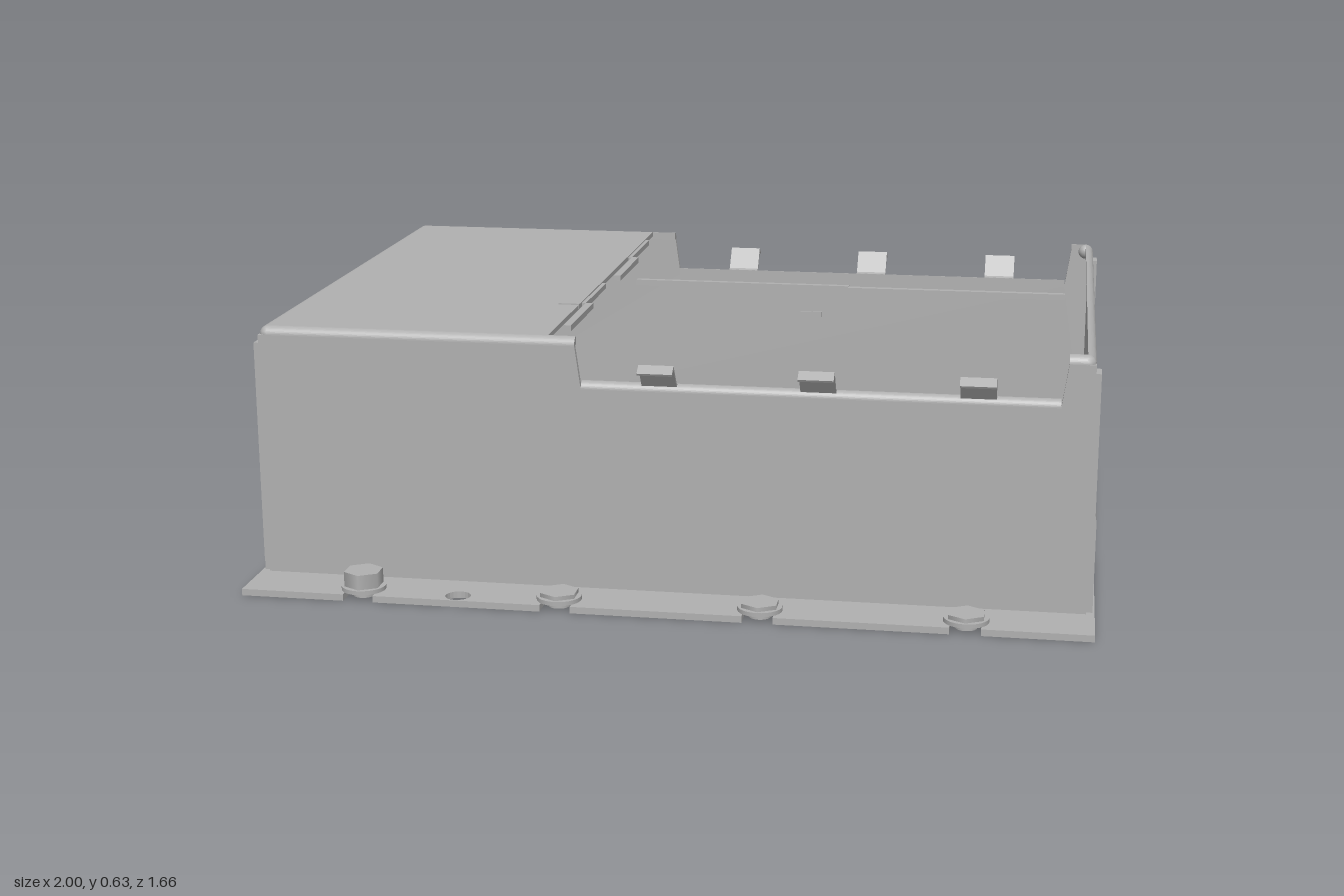
import * as THREE from 'three';

const W = 0.98, D = 0.69, H = 0.625, R = 0.02, PLATE = 0.016;

export function createModel() {
  const model = new THREE.Group();
  model.name = 'sheetMetalEnclosure';
  const metal = new THREE.MeshStandardMaterial({ color: 0xb0b0b0 });
  metal.name = 'grey metal';

  const add = (name, geo, x = 0, y = 0, z = 0, ry = 0, parent = model) => {
    const m = new THREE.Mesh(geo, metal);
    m.name = name;
    m.position.set(x, y, z);
    m.rotation.y = ry;
    parent.add(m);
    return m;
  };
  // box given by its minimum and maximum corners
  const box = (name, x0, x1, y0, y1, z0, z1) =>
    add(name, new THREE.BoxGeometry(x1 - x0, y1 - y0, z1 - z0), (x0 + x1) / 2, (y0 + y1) / 2, (z0 + z1) / 2);
  const poly = (pts) => new THREE.Shape(pts.map(([x, y]) => new THREE.Vector2(x, y)));
  // extrusion centred on its own depth
  const extrude = (shape, depth, curveSegments = 8) =>
    new THREE.ExtrudeGeometry(shape, { depth, bevelEnabled: false, curveSegments }).translate(0, 0, -depth / 2);
  // quarter-round strip, bulging outward (+x) and up
  const lip = (name, r, length, x, y, z, ry) => {
    const s = new THREE.Shape();
    s.moveTo(0, 0);
    s.lineTo(r, 0);
    s.absarc(0, 0, r, 0, Math.PI / 2, false);
    add(name, extrude(s, length, 5), x, y, z, ry);
  };

  // Base plate with open bolt slots along the front and back edges
  const boltX = [-0.715, -0.24, 0.235, 0.71];
  const E = 0.827, bz = 0.775, slot = 0.036;
  const base = new THREE.Shape();
  base.moveTo(-1, -E);
  for (const x of boltX) {
    base.lineTo(x - slot, -E);
    base.lineTo(x - slot, -bz);
    base.absarc(x, -bz, slot, Math.PI, 0, true);
    base.lineTo(x + slot, -E);
  }
  base.lineTo(1, -E);
  base.lineTo(1, E);
  for (const x of [...boltX].reverse()) {
    base.lineTo(x + slot, E);
    base.lineTo(x + slot, bz);
    base.absarc(x, bz, slot, 0, Math.PI, true);
    base.lineTo(x - slot, E);
  }
  base.lineTo(-1, E);
  for (const s of [-1, 1]) {
    const hole = new THREE.Path();
    hole.absarc(-0.48, s * 0.793, 0.03, 0, Math.PI * 2, true);
    base.holes.push(hole);
  }
  const baseGeo = new THREE.ExtrudeGeometry(base, { depth: PLATE, bevelEnabled: false, curveSegments: 10 });
  add('basePlate', baseGeo.rotateX(-Math.PI / 2));

  // Flanged hex bolts; the first of each row stands taller
  for (const s of [-1, 1]) {
    boltX.forEach((x, i) => {
      const bolt = new THREE.Group();
      bolt.name = 'bolt';
      bolt.position.set(x, 0, s * bz);
      model.add(bolt);
      const top = i === 0 ? 0.062 : 0.036;
      const cyl = (name, r, y0, y1, n) =>
        add(name, new THREE.CylinderGeometry(r, r, y1 - y0, n), 0, (y0 + y1) / 2, 0, 0, bolt);
      cyl('boltShank', 0.026, 0, PLATE, 20);
      cyl('boltFlange', 0.053, PLATE, 0.026, 28);
      cyl('boltHead', 0.047, 0.026, top, 6);
    });
  }

  // Front and back walls with the cut-out beside the lid
  const wallTop = H - R, cut = 0.503, t = 0.012;
  const wall = poly([[-W, PLATE], [W, PLATE], [W, wallTop], [0.92, wallTop], [0.905, cut],
    [-0.2, cut], [-0.214, wallTop], [-W, wallTop]]);
  for (const s of [-1, 1]) {
    const ry = -s * Math.PI / 2;
    add('longWall', extrude(wall, t), 0, 0, s * (D - t / 2));
    lip('lidSideRim', R, 0.746, -0.587, wallTop, s * (D - R), ry);
    lip('cornerRim', R, 0.04, 0.94, wallTop, s * (D - R), ry);
    lip('cutoutRim', 0.018, 1.105, 0.3525, cut, s * (D - 0.018), ry);
  }

  // End walls: lower half stands out, with an inclined step, and narrow edge flaps
  const side = poly([[W - t, PLATE], [0.995, PLATE], [0.995, 0.235], [W, 0.32], [W, wallTop], [W - t, wallTop]]);
  for (const s of [-1, 1]) {
    const ry = s > 0 ? 0 : Math.PI;
    add('endWall', extrude(side, 2 * (D - t)), 0, 0, 0, ry);
    lip('endRim', R, 2 * (D - R), s * (W - R), wallTop, 0, ry);
    for (const k of [-1, 1]) {
      add('edgeFlap', new THREE.BoxGeometry(0.012, 0.545, 0.052), s * 0.986, 0.3125, k * 0.662);
      add('rimCorner', new THREE.SphereGeometry(R, 12, 8), s * (W - R), wallTop, k * (D - R));
    }
  }

  // Lid over the left part
  box('lid', -W + R, -0.28, H - 0.012, H, -D + R, D - R);

  // Thin staggered strips level with the opening
  const strips = [
    [-0.287, -0.27, -0.56, -0.3], [-0.27, -0.252, -0.305, -0.05],
    [-0.287, -0.27, 0.05, 0.3], [-0.27, -0.252, 0.295, 0.55],
    [-0.2, 0.355, -0.022, -0.006], [0.355, 0.905, -0.006, 0.012],
  ];
  for (const [x0, x1, z0, z1] of strips) box('seamStrip', x0, x1, 0.608, 0.622, z0, z1);
  for (const x of [-0.305, 0.297]) box('smallMark', x - 0.026, x + 0.026, 0.615, 0.628, 0.332, 0.337);

  // Bent spring clips along the cut-out, mirrored front and back
  const clip = poly([[0.675, 0.515], [0.689, 0.517], [0.727, 0.568], [0.748, 0.556], [0.751, 0.561],
    [0.726, 0.576], [0.685, 0.524], [0.675, 0.521]]);
  for (const s of [-1, 1]) {
    for (const x of [-0.015, 0.355, 0.72]) add('springClip', extrude(clip, 0.082), x, 0, 0, -s * Math.PI / 2);
  }
  return model;
}
